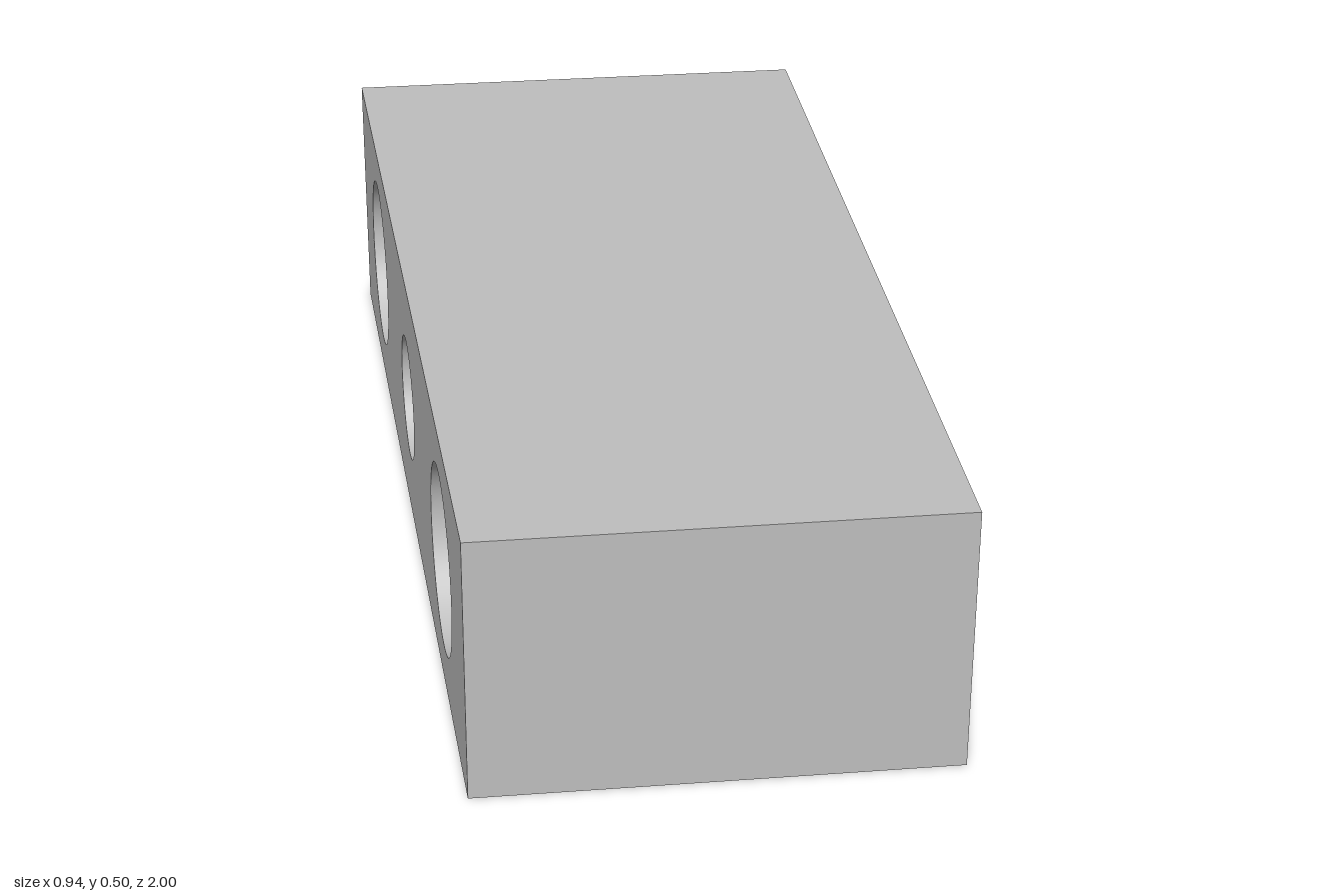
import * as THREE from 'three';

const H = 0.5, RIGHT = 0.47, MID_Y = 0.25;
// x of the slanted left-hand face at depth z
const slantX = (z) => -0.43 + 0.04 * z;
const rightX = () => RIGHT;
const SEG = 64;

const circle = (z, r) => new THREE.Path().absarc(z, MID_Y, r, 0, Math.PI * 2, true);

// Flat plate drawn in (z, y) and laid onto the surface x = xAt(z)
function plate(shape, xAt, facing) {
  const g = new THREE.ShapeGeometry(shape, SEG);
  const p = g.attributes.position;
  for (let i = 0; i < p.count; i++) {
    const z = p.getX(i), y = p.getY(i);
    p.setXYZ(i, xAt(z), y, z);
  }
  // (z, y) drawing order faces -x; reverse it for +x
  if (facing > 0) g.index.array.reverse();
  g.computeVertexNormals();
  return g;
}

// Rectangular end face pierced by round holes [z, radius]
function piercedFace(holes, xAt, facing) {
  const s = new THREE.Shape();
  s.moveTo(-1, 0).lineTo(1, 0).lineTo(1, H).lineTo(-1, H).closePath();
  s.holes = holes.map(([z, r]) => circle(z, r));
  return plate(s, xAt, facing);
}

// Inner wall of a bore along x; its ends follow the given surfaces
function bore(z0, r, fromX, toX) {
  const g = new THREE.CylinderGeometry(r, r, 1, SEG, 1, true);
  g.rotateZ(-Math.PI / 2);
  const p = g.attributes.position;
  for (let i = 0; i < p.count; i++) {
    const z = p.getZ(i) + z0;
    p.setXYZ(i, p.getX(i) < 0 ? fromX(z) : toX(z), p.getY(i) + MID_Y, z);
  }
  return g;
}

// Floor of a bore, optionally with a smaller hole through it
function boreFloor(z0, r, x, holeR) {
  const s = new THREE.Shape().absarc(z0, MID_Y, r, 0, Math.PI * 2, false);
  if (holeR) s.holes.push(circle(z0, holeR));
  return plate(s, () => x, -1);
}

export function createModel() {
  const group = new THREE.Group();
  const grey = new THREE.MeshStandardMaterial({ color: 0xbfbfbf, side: THREE.DoubleSide });
  grey.name = 'plain grey';
  const add = (name, geometry) => {
    const m = new THREE.Mesh(geometry, grey);
    m.name = name;
    group.add(m);
  };

  const HOLE_Z = 0.625, SMALL = 0.083, LARGE = 0.174, CENTRE = 0.122, FLOOR = 0;

  // Top, bottom, front and back: a box without its two x faces, tapered
  const walls = new THREE.BoxGeometry(2 * RIGHT, H, 2);
  walls.translate(0, H / 2, 0);
  walls.setIndex(Array.from(walls.index.array).slice(12));
  walls.clearGroups();
  const p = walls.attributes.position;
  for (let i = 0; i < p.count; i++) if (p.getX(i) < 0) p.setX(i, slantX(p.getZ(i)));
  add('blockWalls', walls);

  // Pierced end faces
  add('straightFace', piercedFace([[-HOLE_Z, SMALL], [HOLE_Z, SMALL]], rightX, 1));
  add('slantedFace', piercedFace([[-HOLE_Z, LARGE], [0, CENTRE], [HOLE_Z, LARGE]], slantX, -1));

  // Counterbored bolt holes
  for (const z of [-HOLE_Z, HOLE_Z]) {
    add('counterbore', bore(z, LARGE, slantX, () => FLOOR));
    add('counterboreFloor', boreFloor(z, LARGE, FLOOR, SMALL));
    add('boltHole', bore(z, SMALL, () => FLOOR, rightX));
  }

  // Blind centre hole
  add('centreHole', bore(0, CENTRE, slantX, () => FLOOR));
  add('centreHoleFloor', boreFloor(0, CENTRE, FLOOR));
  return group;
}
